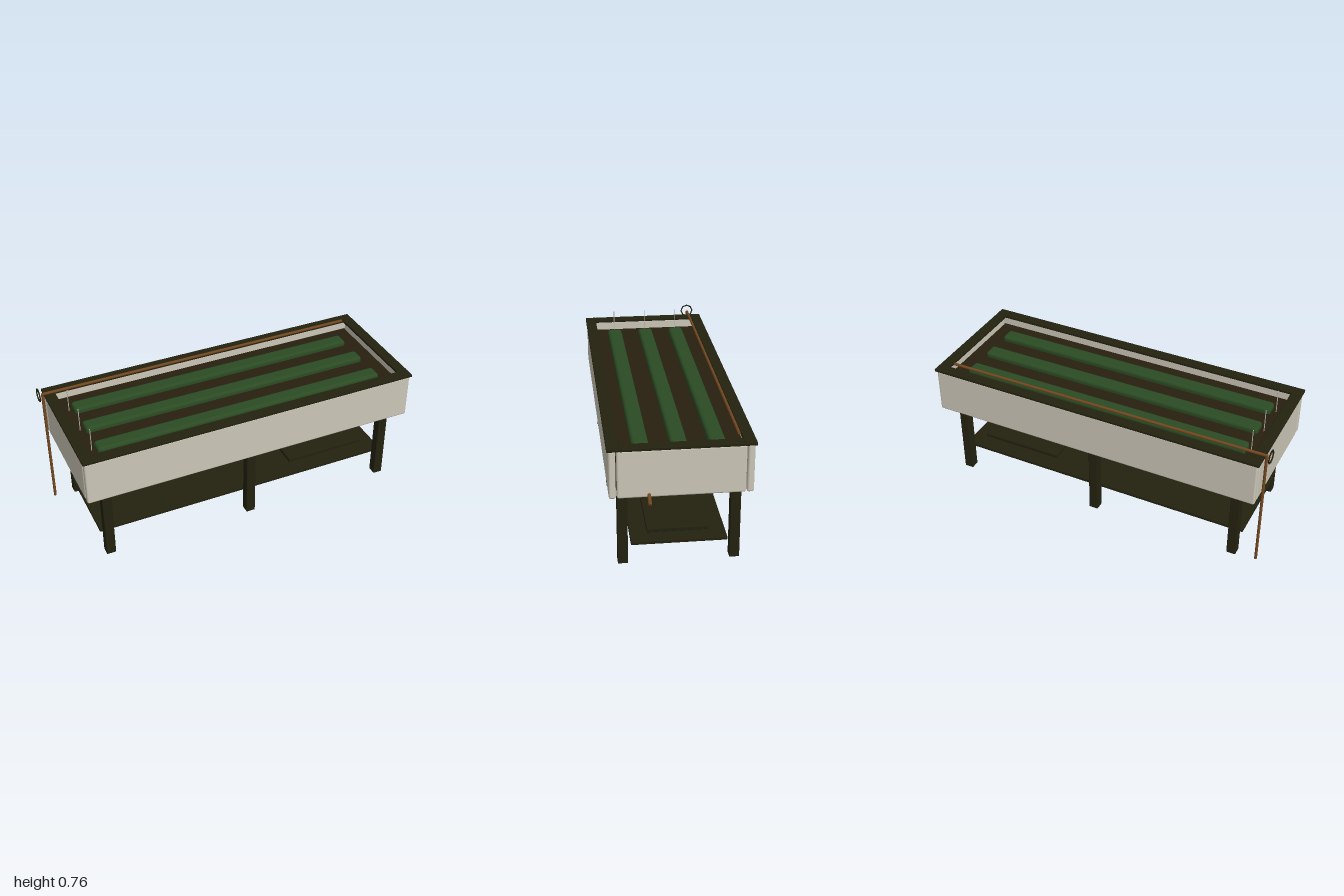
import * as THREE from 'three';
import { RoundedBoxGeometry } from 'three/addons/geometries/RoundedBoxGeometry.js';

const mat = (name, color) => {
  const m = new THREE.MeshStandardMaterial({ color });
  m.name = name;
  return m;
};

export function createModel() {
  const group = new THREE.Group();
  const wall = mat('pale panel', 0xcbc6b7);
  const wood = mat('dark timber', 0x23220f);
  const soil = mat('soil', 0x271f0f);
  const green = mat('foliage', 0x2b4b23);
  const copper = mat('copper pipe', 0x74481f);
  const stakeGrey = mat('marker grey', 0xb5b3a8);

  const add = (name, geometry, material) => {
    const mesh = new THREE.Mesh(geometry, material);
    mesh.name = name;
    group.add(mesh);
    return mesh;
  };
  // Bevelled box given by its minimum and maximum corners
  const box = (name, material, [x0, y0, z0], [x1, y1, z1], bevel = 0.004) => {
    const g = new RoundedBoxGeometry(x1 - x0, y1 - y0, z1 - z0, 2, bevel);
    return add(name, g.translate((x0 + x1) / 2, (y0 + y1) / 2, (z0 + z1) / 2), material);
  };
  // Round rod between two points
  const rod = (name, material, a, b, radius, sides = 8) => {
    const p = new THREE.Vector3(...a), q = new THREE.Vector3(...b);
    const mesh = add(name, new THREE.CylinderGeometry(radius, radius, p.distanceTo(q), sides), material);
    mesh.position.copy(p).add(q).multiplyScalar(0.5);
    mesh.quaternion.setFromUnitVectors(new THREE.Vector3(0, 1, 0), q.sub(p).normalize());
    return mesh;
  };

  // Trough: floor, soil, walls and top rim
  const cx = -0.006;
  box('floor', wall, [cx - 0.93, 0.428, -0.33], [cx + 0.93, 0.455, 0.33]);
  box('soilBed', soil, [cx - 0.92, 0.455, -0.322], [cx + 0.92, 0.625, 0.322]);
  for (const s of [-1, 1]) {
    const side = s > 0 ? 'front' : 'back';
    const end = s > 0 ? 'left' : 'right';
    box(side + 'Wall', wall, [cx - 0.948, 0.422, s * 0.3375 - 0.0175], [cx + 0.948, 0.677, s * 0.3375 + 0.0175], 0.01);
    box(end + 'Wall', wall, [cx + s * 0.9305 - 0.0175, 0.422, -0.316], [cx + s * 0.9305 + 0.0175, 0.677, 0.316], 0.01);
    box(side + 'Rim', wood, [cx - 0.957, 0.676, s * 0.3325 - 0.0305], [cx + 0.957, 0.692, s * 0.3325 + 0.0305]);
    box(end + 'Rim', wood, [cx + s * 0.9265 - 0.0305, 0.676, -0.303], [cx + s * 0.9265 + 0.0305, 0.692, 0.303]);
  }

  // Planted rows, each with a marker stake
  for (const z of [-0.19, 0, 0.19]) {
    box('plantRow', green, [-0.84, 0.605, z - 0.043], [0.82, 0.655, z + 0.043], 0.018);
    rod('markerStake', stakeGrey, [-0.862, 0.6, z], [-0.862, 0.761, z], 0.0025);
  }

  // Six legs
  for (const x of [-0.84, -0.008, 0.824]) {
    for (const z of [-0.285, 0.285]) {
      box('leg', wood, [x - 0.026, 0, z - 0.026], [x + 0.026, 0.428, z + 0.026]);
    }
  }

  // Lower shelf and the board resting on it
  box('shelf', wood, [-0.875, 0.111, -0.245], [0.863, 0.13, 0.245]);
  box('shelfBoard', wood, [0.31, 0.133, -0.157], [0.785, 0.155, 0.157]);

  // Water supply pipe with valve wheel
  rod('supplyRiser', copper, [-0.974, 0, -0.286], [-0.974, 0.71, -0.286], 0.008);
  rod('supplyPipe', copper, [-0.974, 0.706, -0.286], [0.865, 0.706, -0.286], 0.008);
  const wheel = add('valveWheel', new THREE.TorusGeometry(0.035, 0.004, 6, 8), wood);
  wheel.position.set(-0.996, 0.706, -0.286);
  wheel.rotation.y = Math.PI / 2;

  // Drain spout
  rod('drainSpout', copper, [0.92, 0.449, 0.16], [0.992, 0.408, 0.16], 0.009);

  return group;
}
